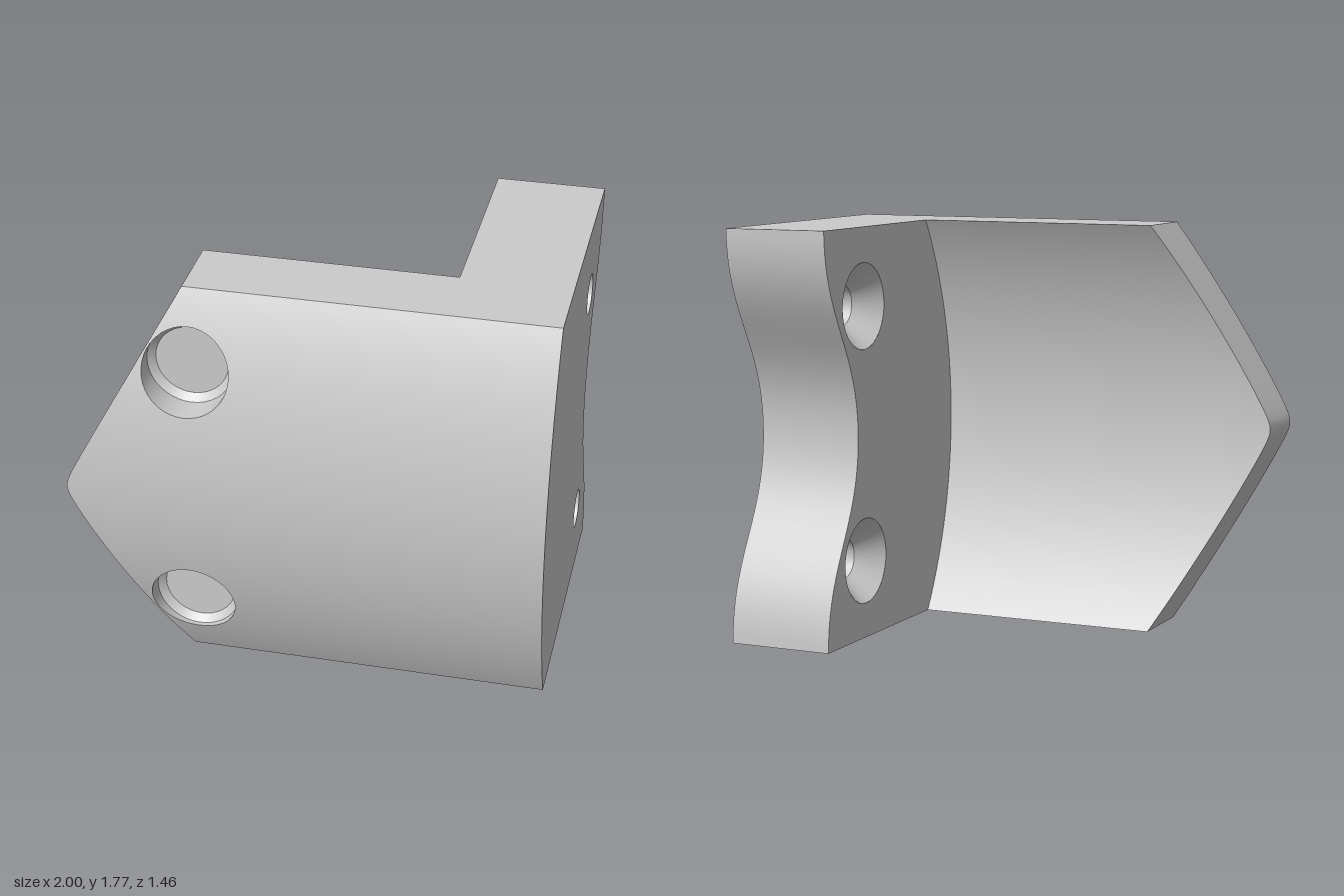
import * as THREE from 'three';
import { mergeGeometries, toCreasedNormals } from 'three/addons/utils/BufferGeometryUtils.js';

const H = 1.77, MID = H / 2, CZ = -1.24;        // height, mid height, arc centre
const FLANGE_X = 0.535, RIGHT_X = 1;
const POCKET = { x: -0.497, r: 0.182, floorR: 0.153, floorZ: 0.535, stepZ: 0.565, dy: 0.558 };
const BOLT = { z: -0.39, r: 0.088, sinkR: 0.185, sinkX: 0.64, dy: 0.549 };
const SEG = 40;

const arc = (R) => (y) => CZ + Math.sqrt(R * R - (y - MID) ** 2);
const outerZ = arc(1.97), innerZ = arc(1.69);
// pointed left edge with a small rounded tip
const leftX = (y) => -1.022 + 0.55 * Math.hypot(y - MID, 0.04);
const v = (x, y, z) => new THREE.Vector3(x, y, z);

// ruled surface between two polylines of equal length
function strip(a, b) {
  const pos = [];
  for (let i = 0; i < a.length - 1; i++) {
    for (const p of [a[i], b[i], a[i + 1], b[i], b[i + 1], a[i + 1]]) pos.push(p.x, p.y, p.z);
  }
  const g = new THREE.BufferGeometry();
  g.setAttribute('position', new THREE.Float32BufferAttribute(pos, 3));
  return g;
}

function flat(shape) {
  return new THREE.ShapeGeometry(shape, SEG);
}

function part(name, geometries) {
  const clean = geometries.map((g) => {
    const n = g.index ? g.toNonIndexed() : g;
    n.deleteAttribute('uv');
    n.deleteAttribute('normal');
    return n;
  });
  const geo = toCreasedNormals(mergeGeometries(clean), 0.4);
  const mesh = new THREE.Mesh(geo, new THREE.MeshStandardMaterial({ color: 0xcccccc }));
  mesh.name = name;
  return mesh;
}

function circle(n, fn) {
  return Array.from({ length: n + 1 }, (_, i) => {
    const t = (i % n) / n * Math.PI * 2;
    return fn(Math.cos(t), Math.sin(t));
  });
}

const span = (a, b, n) => Array.from({ length: n + 1 }, (_, i) => a + (b - a) * i / n);

export function createModel() {
  const model = new THREE.Group();
  const pocketYs = [MID - POCKET.dy, MID + POCKET.dy];
  const boltYs = [MID - BOLT.dy, MID + BOLT.dy];

  // heights of the rows, with circle-spaced rows across each pocket
  const [lo, hi] = pocketYs, r = POCKET.r;
  const pocketRows = pocketYs.map((c) => span(0, Math.PI, SEG / 2).map((t) => c - r * Math.cos(t)));
  const bands = [span(0, lo - r, 6), pocketRows[0], span(lo + r, hi - r, 40), pocketRows[1], span(hi + r, H, 6)];
  const rows = bands.flatMap((b, i) => (i ? b.slice(1) : b));

  // curved plate: outer skin split around the pockets, inner skin, pointed edge
  const plate = [];
  const onOuter = (ys, fx) => ys.map((y) => v(fx(y), y, outerZ(y)));
  const right = () => RIGHT_X;
  bands.forEach((ys, i) => {
    if (i % 2 === 0) {
      plate.push(strip(onOuter(ys, leftX), onOuter(ys, right)));
    } else {
      const c = pocketYs[(i - 1) / 2];
      const half = (y) => Math.sqrt(Math.max(0, r * r - (y - c) ** 2));
      plate.push(strip(onOuter(ys, leftX), onOuter(ys, (y) => POCKET.x - half(y))));
      plate.push(strip(onOuter(ys, (y) => POCKET.x + half(y)), onOuter(ys, right)));
    }
  });
  const innerLeft = rows.map((y) => v(leftX(y), y, innerZ(y)));
  plate.push(strip(rows.map((y) => v(FLANGE_X, y, innerZ(y))), innerLeft));
  plate.push(strip(innerLeft, onOuter(rows, leftX)));
  model.add(part('curvedPlate', plate));

  // blind round pockets with a chamfered floor
  pocketYs.forEach((c, i) => {
    const ring = (rad, z) => circle(SEG, (cs, sn) => {
      const y = c + rad * sn;
      return v(POCKET.x + rad * cs, y, z ?? outerZ(y));
    });
    const step = ring(r, POCKET.stepZ), floor = ring(POCKET.floorR, POCKET.floorZ);
    const disc = new THREE.CircleGeometry(POCKET.floorR, SEG).translate(POCKET.x, c, POCKET.floorZ);
    model.add(part(i ? 'upperPocket' : 'lowerPocket', [strip(step, ring(r)), strip(floor, step), disc]));
  });

  // wavy rear edge of the flange, as (z, y) points from bottom to top
  const upper = new THREE.CubicBezierCurve(
    new THREE.Vector2(-0.45, MID), new THREE.Vector2(-0.45, 1.27),
    new THREE.Vector2(-0.73, 1.39), new THREE.Vector2(-0.73, H)).getPoints(24);
  const rear = [...upper.slice(1).reverse().map((p) => new THREE.Vector2(p.x, H - p.y)), ...upper];

  // flange side outline; s mirrors z so each face can be turned outward
  const side = (frontZ, holeR, s) => {
    const shape = new THREE.Shape([
      ...rows.map((y) => new THREE.Vector2(s * frontZ(y), y)),
      ...[...rear].reverse().map((p) => new THREE.Vector2(s * p.x, p.y)),
    ]);
    boltYs.forEach((y) => shape.holes.push(new THREE.Path().absarc(s * BOLT.z, y, holeR, 0, Math.PI * 2)));
    return flat(shape).rotateY(-s * Math.PI / 2);
  };
  model.add(part('flange', [
    side(outerZ, BOLT.r, -1).translate(RIGHT_X, 0, 0),
    side(innerZ, BOLT.sinkR, 1).translate(FLANGE_X, 0, 0),
    strip(rear.map((p) => v(RIGHT_X, p.y, p.x)), rear.map((p) => v(FLANGE_X, p.y, p.x))),
  ]));

  // countersunk through holes
  boltYs.forEach((c, i) => {
    const ring = (x, rad) => circle(SEG, (cs, sn) => v(x, c + rad * cs, BOLT.z + rad * sn));
    const neck = ring(BOLT.sinkX, BOLT.r);
    model.add(part(i ? 'upperBoltHole' : 'lowerBoltHole',
      [strip(ring(FLANGE_X, BOLT.sinkR), neck), strip(neck, ring(RIGHT_X, BOLT.r))]));
  });

  // flat L-shaped ends
  const end = (s) => flat(new THREE.Shape([
    [leftX(0), outerZ(0)], [RIGHT_X, outerZ(0)], [RIGHT_X, -0.73],
    [FLANGE_X, -0.73], [FLANGE_X, innerZ(0)], [leftX(0), innerZ(0)],
  ].map(([x, z]) => new THREE.Vector2(x, s * z)))).rotateX(s * Math.PI / 2);
  model.add(part('topEnd', [end(-1).translate(0, H, 0)]));
  model.add(part('bottomEnd', [end(1)]));

  return model;
}
